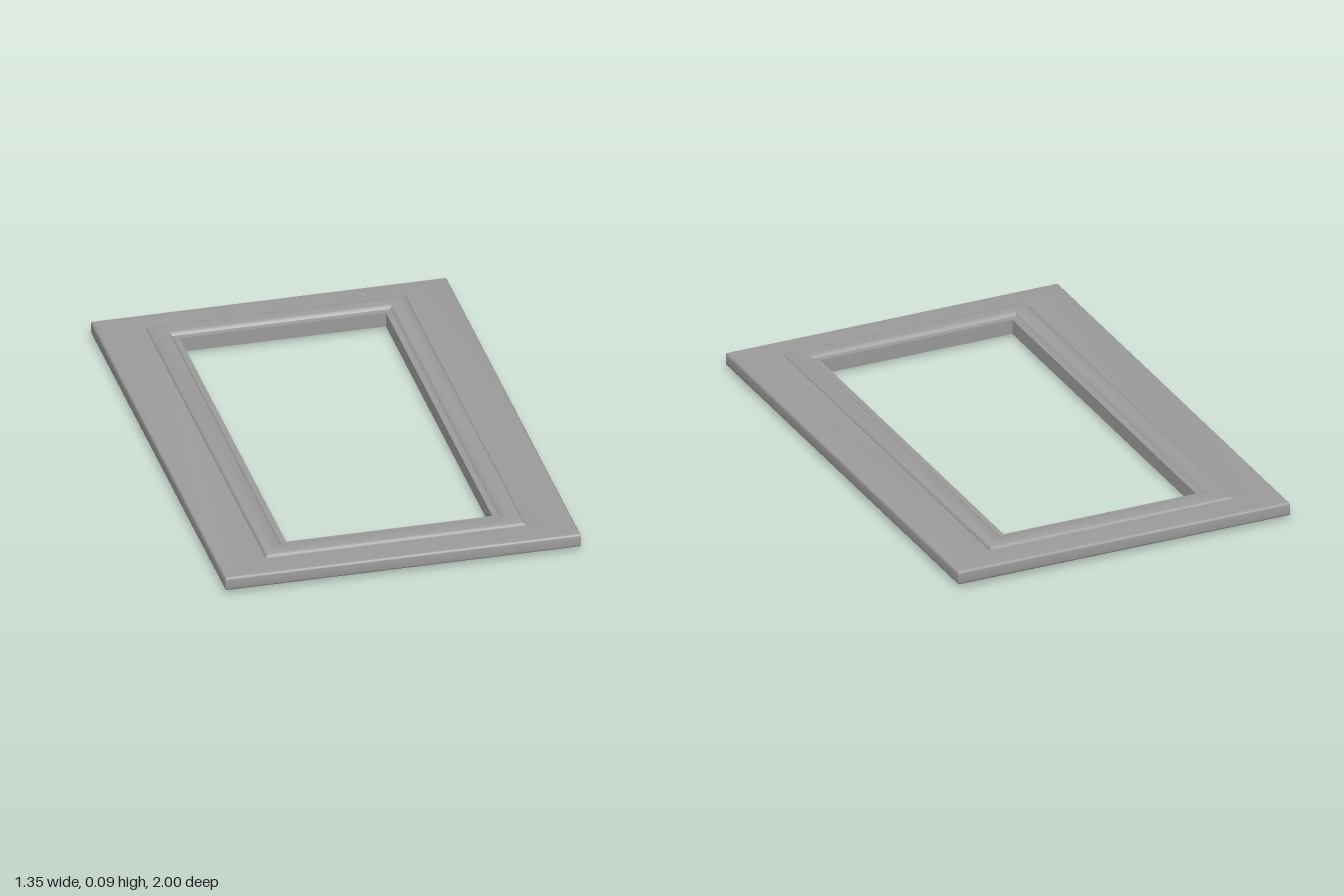
import * as THREE from 'three';
import { toCreasedNormals } from 'three/addons/utils/BufferGeometryUtils.js';

const MID = 0.0435; // height of the plane of symmetry
const OPEN_X = 0.39, OPEN_Z = 0.79; // half size of the opening

// Sweep a closed profile of [distance from opening, height] around the opening with mitred corners
function mitredRing(profile) {
  const corners = [[1, 1], [1, -1], [-1, -1], [-1, 1]];
  const positions = [];
  const point = (j, k) => {
    const [o, y] = profile[j % profile.length];
    const [sx, sz] = corners[k % 4];
    return [sx * (OPEN_X + o), y, sz * (OPEN_Z + o)];
  };
  for (let k = 0; k < 4; k++) {
    for (let j = 0; j < profile.length; j++) {
      const a = point(j, k), b = point(j + 1, k), c = point(j, k + 1), d = point(j + 1, k + 1);
      positions.push(...a, ...b, ...c, ...b, ...d, ...c);
    }
  }
  const geometry = new THREE.BufferGeometry();
  geometry.setAttribute('position', new THREE.Float32BufferAttribute(positions, 3));
  return toCreasedNormals(geometry, 0.6);
}

function rectangle(path, hx, hz) {
  path.moveTo(-hx, -hz);
  path.lineTo(hx, -hz);
  path.lineTo(hx, hz);
  path.lineTo(-hx, hz);
  path.closePath();
  return path;
}

export function createModel() {
  const group = new THREE.Group();
  group.name = 'panelFrame';
  const material = new THREE.MeshStandardMaterial({ color: 0x9c9c9c });
  const add = (name, geometry) => {
    const mesh = new THREE.Mesh(geometry, material);
    mesh.name = name;
    group.add(mesh);
  };

  // Flat outer board with softened edges
  const bevel = 0.01, thickness = 0.054;
  const shape = rectangle(new THREE.Shape(), 0.673, 1);
  shape.holes.push(rectangle(new THREE.Path(), OPEN_X + 0.05, OPEN_Z + 0.05));
  const board = new THREE.ExtrudeGeometry(shape, {
    depth: thickness - 2 * bevel, bevelEnabled: true, bevelThickness: bevel,
    bevelSize: bevel, bevelOffset: -bevel, bevelSegments: 4,
  });
  board.rotateX(-Math.PI / 2);
  board.translate(0, MID - thickness / 2 + bevel, 0);
  add('board', toCreasedNormals(board, 0.6));

  // Raised moulding around the opening: low inner lip, step, flat crown, rounded outer edge
  const half = [[0, 0.029], [0.022, 0.029], [0.026, 0.034], [0.032, 0.0395], [0.042, 0.0435], [0.072, 0.0435]];
  for (let i = 1; i <= 6; i++) {
    const t = (i / 6) * Math.PI / 2;
    half.push([0.072 + 0.031 * Math.sin(t), 0.0255 + 0.018 * Math.cos(t)]);
  }
  const top = half.map(([o, h]) => [o, MID + h]);
  const bottom = half.map(([o, h]) => [o, MID - h]).reverse();
  add('moulding', mitredRing([...top, ...bottom]));

  return group;
}
